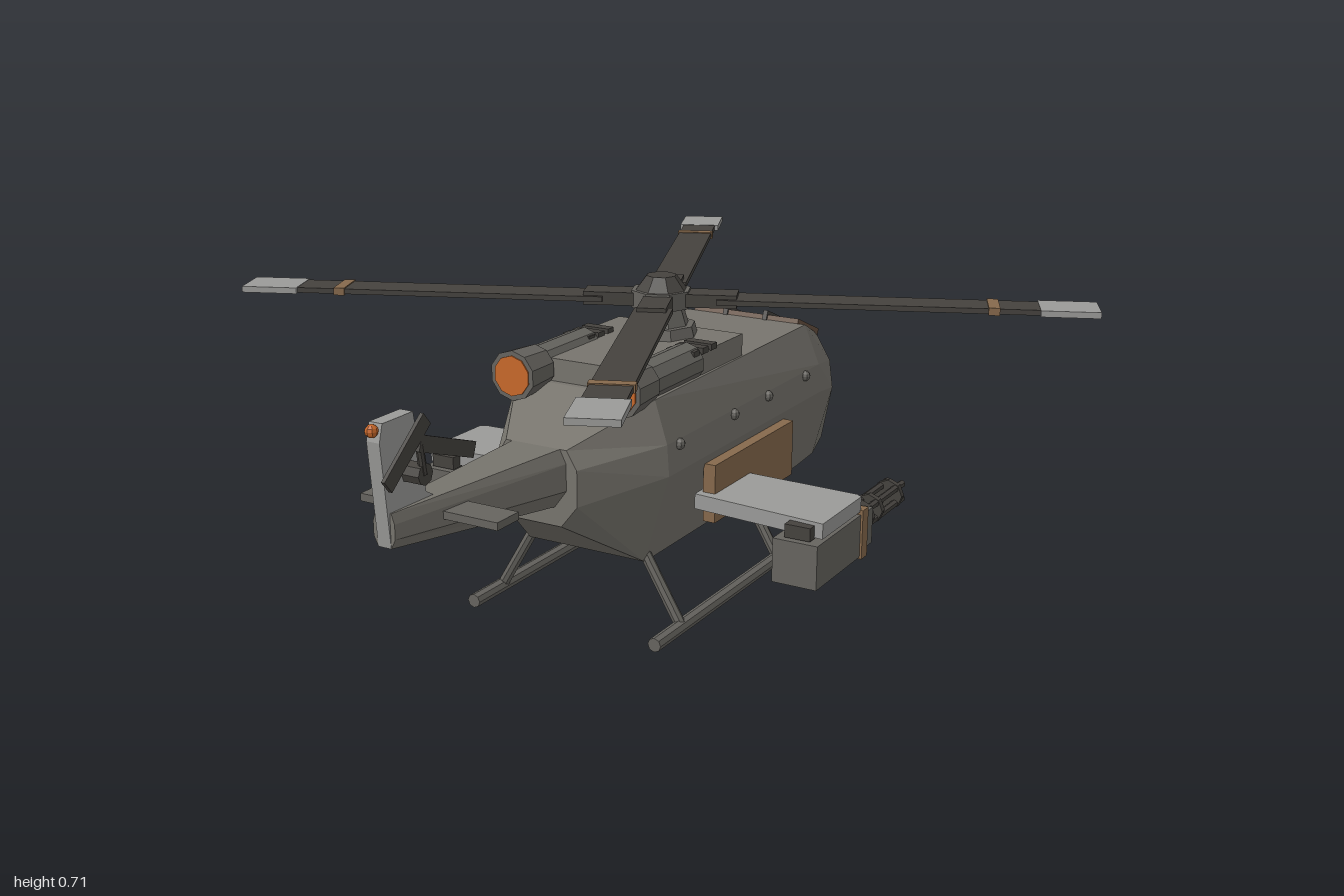
import * as THREE from 'three';

const mat = (color) => new THREE.MeshStandardMaterial({ color, flatShading: true });
const HULL = mat(0x77746d), LIGHT = mat(0x9a9a98), METAL = mat(0x66645f), DARK = mat(0x45423e);
const BROWN = mat(0x86694c), ORANGE = mat(0xc8682a), GLASS = mat(0x66503f);

function add(parent, name, geo, material, x = 0, y = 0, z = 0) {
  const m = new THREE.Mesh(geo, material);
  m.name = name;
  m.position.set(x, y, z);
  parent.add(m);
  return m;
}
const box = (p, name, mt, w, h, d, x, y, z) => add(p, name, new THREE.BoxGeometry(w, h, d), mt, x, y, z);

// Cylinder running along z; r1 is the +z end
const tubeZ = (p, name, mt, r1, r0, len, x, y, z, n = 8) =>
  add(p, name, new THREE.CylinderGeometry(r1, r0, len, n).rotateX(Math.PI / 2), mt, x, y, z);

// Round bar between two points
function bar(p, name, mt, a, b, r) {
  const A = new THREE.Vector3(...a), B = new THREE.Vector3(...b);
  const m = add(p, name, new THREE.CylinderGeometry(r, r, A.distanceTo(B), 8), mt);
  m.position.copy(A).lerp(B, 0.5);
  m.quaternion.setFromUnitVectors(new THREE.Vector3(0, 1, 0), B.sub(A).normalize());
  return m;
}

// Symmetric eight-sided loft: each section is [z, y, halfWidth x 4 from bottom to top], z falling
function loft(sections) {
  const pos = [], idx = [], N = 8;
  for (const [z, ...s] of sections) {
    for (let i = 0; i < 4; i++) pos.push(s[2 * i + 1], s[2 * i], z);
    for (let i = 3; i >= 0; i--) pos.push(-s[2 * i + 1], s[2 * i], z);
  }
  const last = (sections.length - 1) * N;
  for (let r = 0; r < last; r += N)
    for (let i = 0; i < N; i++) {
      const j = (i + 1) % N;
      idx.push(r + i, r + N + i, r + j, r + j, r + N + i, r + N + j);
    }
  for (let i = 1; i < N - 1; i++) idx.push(0, i, i + 1, last, last + i + 1, last + i);
  const g = new THREE.BufferGeometry();
  g.setAttribute('position', new THREE.Float32BufferAttribute(pos, 3));
  g.setIndex(idx);
  g.computeVertexNormals();
  return g;
}

const plate = (pts, depth) => new THREE.ExtrudeGeometry(
  new THREE.Shape(pts.map(([x, y]) => new THREE.Vector2(x, y))), { depth, bevelEnabled: false });

function buildBody(g) {
  add(g, 'fuselage', loft([
    [0.44, 0.28, 0.06, 0.33, 0.1, 0.41, 0.1, 0.45, 0.075],
    [0.25, 0.155, 0.15, 0.36, 0.21, 0.43, 0.205, 0.525, 0.175],
    [-0.5, 0.155, 0.15, 0.36, 0.21, 0.43, 0.205, 0.525, 0.165],
    [-0.62, 0.155, 0.14, 0.34, 0.19, 0.41, 0.18, 0.475, 0.14],
    [-0.76, 0.155, 0.1, 0.28, 0.12, 0.34, 0.115, 0.392, 0.09],
    [-0.815, 0.22, 0.07, 0.26, 0.08, 0.32, 0.08, 0.36, 0.07],
  ]), HULL);
  add(g, 'tailBoom', loft([
    [0.94, 0.39, 0.015, 0.41, 0.025, 0.44, 0.025, 0.46, 0.018],
    [0.43, 0.32, 0.045, 0.36, 0.075, 0.42, 0.075, 0.45, 0.06],
  ]), HULL);

  // Windshield with its two frame bars
  const shield = new THREE.Group();
  shield.name = 'windshield';
  shield.position.set(0, 0.502, -0.56);
  shield.rotation.x = -0.4;
  g.add(shield);
  box(shield, 'glass', GLASS, 0.29, 0.02, 0.13, 0, 0, 0);
  for (const x of [-0.055, 0.055]) box(shield, 'windshieldBar', DARK, 0.012, 0.03, 0.14, x, 0.005, 0);

  // Nose lamp
  box(g, 'noseHousing', METAL, 0.11, 0.05, 0.09, 0, 0.178, -0.76);
  box(g, 'noseLamp', ORANGE, 0.08, 0.025, 0.02, 0, 0.198, -0.803);

  // Engine cowling
  box(g, 'cowling', HULL, 0.33, 0.06, 0.4, 0, 0.546, 0.035);
  for (const s of [-1, 1]) {
    for (let i = 0; i < 3; i++) box(g, 'coolingSlat', DARK, 0.07, 0.014, 0.025, s * 0.135, 0.58, -0.02 + i * 0.04);
    tubeZ(g, 'exhaustPipe', METAL, 0.045, 0.045, 0.26, s * 0.133, 0.553, 0.17, 10);
    tubeZ(g, 'exhaustRing', METAL, 0.056, 0.05, 0.09, s * 0.133, 0.553, 0.285, 10);
    tubeZ(g, 'exhaustGlow', ORANGE, 0.045, 0.045, 0.01, s * 0.133, 0.553, 0.328, 10);
    // Side door and rivets
    box(g, 'sideDoor', BROWN, 0.03, 0.135, 0.39, s * 0.215, 0.272, -0.115);
    for (const z of [0.2, -0.05, -0.22, -0.42])
      add(g, 'rivet', new THREE.SphereGeometry(0.013, 8, 6), METAL, s * 0.207, 0.42, z);
  }
}

function buildWing(g, s) {
  const wing = plate([[s * 0.19, 0.09], [s * 0.5, 0.08], [s * 0.515, 0.07], [s * 0.515, -0.13],
    [s * 0.19, -0.1]], 0.035).rotateX(-Math.PI / 2);
  add(g, 'wing', wing, LIGHT, 0, 0.238, 0);

  // Gun pod
  const pod = new THREE.Group();
  pod.name = 'gunPod';
  pod.position.set(s * 0.465, 0.185, 0);
  g.add(pod);
  box(pod, 'podBody', METAL, 0.105, 0.1, 0.24, 0, -0.003, 0.04);
  box(pod, 'podRail', DARK, 0.06, 0.03, 0.24, 0, 0.065, 0.03);
  box(pod, 'podBand', BROWN, 0.115, 0.115, 0.03, 0, 0, -0.08);
  box(pod, 'podFront', METAL, 0.09, 0.085, 0.06, 0, -0.005, -0.12);
  tubeZ(pod, 'barrelBase', DARK, 0.036, 0.036, 0.04, 0, 0, -0.168);
  for (let i = 0; i < 4; i++) {
    const a = Math.PI / 4 + i * Math.PI / 2;
    tubeZ(pod, 'barrel', DARK, 0.009, 0.009, 0.21, 0.026 * Math.cos(a), 0.026 * Math.sin(a), -0.28, 6);
  }
  for (const z of [-0.235, -0.35]) tubeZ(pod, 'barrelCollar', DARK, 0.036, 0.036, 0.015, 0, 0, z);
}

function buildSkid(g, s) {
  const x = s * 0.235;
  bar(g, 'skid', METAL, [x, 0.018, 0.355], [x, 0.018, -0.33], 0.016);
  bar(g, 'skidTip', METAL, [x, 0.018, -0.32], [x, 0.065, -0.405], 0.014);
  for (const z of [0.24, -0.23]) bar(g, 'skidStrut', METAL, [s * 0.14, 0.18, z], [x, 0.02, z], 0.013);
}

function buildTail(g) {
  const fin = plate([[0.94, 0.39], [0.82, 0.4], [0.78, 0.44], [0.83, 0.47], [0.86, 0.635],
    [0.95, 0.635], [0.96, 0.6]], 0.03).rotateY(-Math.PI / 2);
  add(g, 'tailFin', fin, LIGHT, 0.015, 0, 0);
  add(g, 'tailLamp', new THREE.SphereGeometry(0.013, 8, 6), ORANGE, 0, 0.622, 0.962);
  box(g, 'tailPlane', METAL, 0.325, 0.016, 0.07, 0, 0.42, 0.775);

  // Tail rotor on the +x side
  const hub = add(g, 'tailRotorHub', new THREE.CylinderGeometry(0.022, 0.022, 0.045, 8), DARK, 0.032, 0.525, 0.88);
  hub.rotation.z = Math.PI / 2;
  box(g, 'tailRotorBlade', DARK, 0.008, 0.032, 0.155, 0.053, 0.582, 0.932).rotation.x = 0.69;
  box(g, 'tailRotorBlade', DARK, 0.008, 0.032, 0.175, 0.053, 0.56, 0.812).rotation.x = -0.34;
  bar(g, 'tailRotorArm', DARK, [0.05, 0.525, 0.88], [0.05, 0.585, 0.89], 0.008);
}

function buildRotor(g) {
  const rotor = new THREE.Group();
  rotor.name = 'mainRotor';
  rotor.position.set(0, 0, -0.078);
  g.add(rotor);
  const disc = (name, mt, top, bottom, y0, y1) =>
    add(rotor, name, new THREE.CylinderGeometry(top, bottom, y1 - y0, 8), mt, 0, (y0 + y1) / 2, 0);
  disc('mastBase', METAL, 0.08, 0.1, 0.52, 0.6);
  disc('mast', METAL, 0.05, 0.065, 0.6, 0.645);
  disc('hub', METAL, 0.07, 0.07, 0.64, 0.68);
  disc('hubCap', DARK, 0.035, 0.06, 0.68, 0.712);
  for (let i = 0; i < 4; i++) {
    const blade = new THREE.Group();
    blade.name = 'blade';
    blade.rotation.y = 0.4 + i * Math.PI / 2;
    rotor.add(blade);
    box(blade, 'bladeRoot', DARK, 0.13, 0.03, 0.065, 0.11, 0.66, 0);
    box(blade, 'bladeSpan', DARK, 0.72, 0.012, 0.085, 0.49, 0.66, 0);
    box(blade, 'bladeBand', BROWN, 0.025, 0.017, 0.092, 0.745, 0.66, 0);
    box(blade, 'bladeTip', LIGHT, 0.13, 0.014, 0.103, 0.91, 0.66, 0);
  }
}

export function createModel() {
  const g = new THREE.Group();
  g.name = 'helicopter';
  buildBody(g);
  for (const s of [-1, 1]) {
    buildWing(g, s);
    buildSkid(g, s);
  }
  buildTail(g);
  buildRotor(g);
  return g;
}
